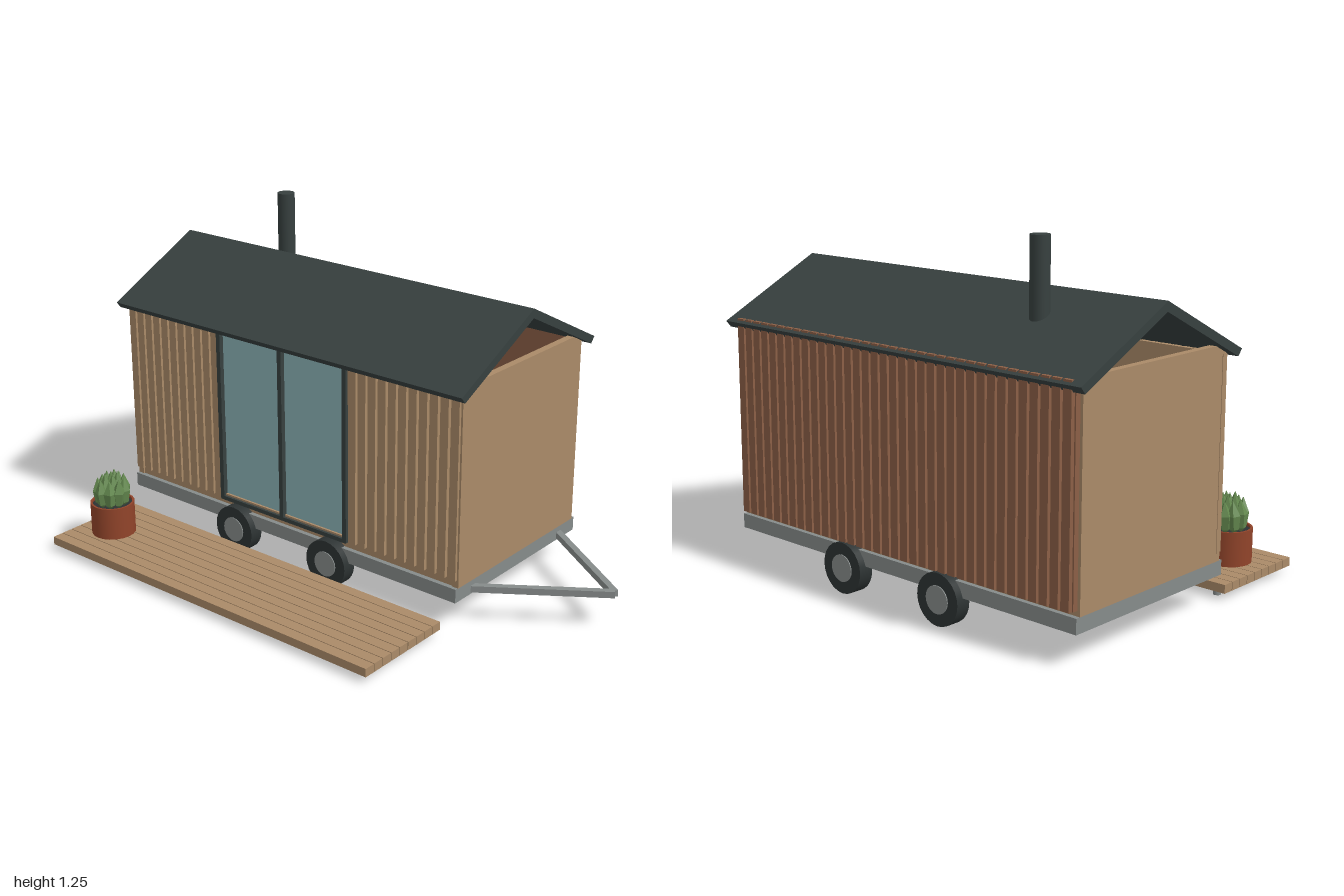
import * as THREE from 'three';

const material = (name, color, extra = {}) => {
  const m = new THREE.MeshStandardMaterial({ color, ...extra });
  m.name = name;
  return m;
};

export function createModel() {
  const model = new THREE.Group();
  model.name = 'tinyHouse';
  const timber = material('timber', 0xaa8a68);
  const darkTimber = material('dark timber', 0x8b5f46);
  const charcoal = material('charcoal metal', 0x37403f);
  const steel = material('steel', 0x868b8a);
  const glass = material('glass', 0x8cb3b7);
  const rubber = material('rubber', 0x2d3333);
  const clay = material('clay', 0x91442a);
  const leafGreen = material('leaf green', 0x64894f, { flatShading: true });

  const add = (name, geometry, mat, parent = model) => {
    const mesh = new THREE.Mesh(geometry, mat);
    mesh.name = name;
    parent.add(mesh);
    return mesh;
  };
  // Box given by its extents on each axis
  const box = (name, mat, x0, x1, y0, y1, z0, z1, parent) => {
    const g = new THREE.BoxGeometry(x1 - x0, y1 - y0, z1 - z0);
    g.translate((x0 + x1) / 2, (y0 + y1) / 2, (z0 + z1) / 2);
    return add(name, g, mat, parent);
  };
  const group = (name) => {
    const g = new THREE.Group();
    g.name = name;
    model.add(g);
    return g;
  };
  const midZ = -0.212;

  // Trailer: chassis, floor and A-frame hitch
  box('chassis', steel, -0.97, 0.59, 0.11, 0.162, -0.587, 0.163);
  box('floor', timber, -0.95, 0.58, 0.162, 0.19, -0.57, 0.145);
  for (const side of [1, -1]) {
    const dx = 0.405, dz = -side * 0.277;
    const bar = add('hitchBar', new THREE.BoxGeometry(Math.hypot(dx, dz), 0.024, 0.024), steel);
    bar.position.set(0.585 + dx / 2, 0.129, midZ + side * 0.277 + dz / 2);
    bar.rotation.y = -Math.atan2(dz, dx);
  }

  // Wheels: tyre with a flat hub on each outer face
  for (const x of [-0.418, 0.033]) {
    for (const side of [1, -1]) {
      const wheel = group('wheel');
      wheel.position.set(x, 0.091, midZ + side * 0.374);
      const tyre = add('tyre', new THREE.CylinderGeometry(0.09, 0.09, 0.055, 24), rubber, wheel);
      const hub = add('hub', new THREE.CylinderGeometry(0.048, 0.048, 0.062, 20), steel, wheel);
      tyre.rotation.x = hub.rotation.x = Math.PI / 2;
    }
  }

  // End walls, open gables above
  box('endWall', timber, 0.565, 0.592, 0.162, 0.888, -0.57, 0.15);
  box('endWall', timber, -0.97, -0.943, 0.162, 0.888, -0.57, 0.15);

  // Vertical cladding: backing board with spaced slats in front
  const cladding = (name, mat, x0, x1, y0, y1, zBack, zSlat, zFace, count) => {
    const g = group(name);
    box('backing', mat, x0, x1, y0, y1, Math.min(zBack, zSlat), Math.max(zBack, zSlat), g);
    const pitch = (x1 - x0) / count;
    for (let i = 0; i < count; i++) {
      const x = x0 + i * pitch;
      box('slat', mat, x + 0.005, x + pitch - 0.005, y0, y1,
        Math.min(zSlat, zFace), Math.max(zSlat, zFace), g);
    }
  };
  cladding('frontCladdingRight', timber, -0.972, -0.5, 0.19, 0.86, 0.13, 0.146, 0.16, 11);
  cladding('frontCladdingLeft', timber, 0.11, 0.59, 0.19, 0.86, 0.13, 0.146, 0.16, 11);
  cladding('rearCladding', darkTimber, -0.96, 0.572, 0.18, 0.884, -0.57, -0.59, -0.605, 36);

  // Sliding glass door
  const door = group('door');
  for (const x of [-0.493, -0.195, 0.103]) {
    box('doorPost', charcoal, x - 0.009, x + 0.009, 0.19, 0.858, 0.13, 0.168, door);
  }
  box('doorSill', charcoal, -0.5, 0.11, 0.187, 0.202, 0.13, 0.168, door);
  box('doorHead', charcoal, -0.5, 0.11, 0.846, 0.858, 0.13, 0.168, door);
  box('threshold', timber, -0.485, 0.095, 0.202, 0.209, 0.14, 0.158, door);
  box('glassPane', glass, -0.484, -0.204, 0.202, 0.85, 0.14, 0.15, door);
  box('glassPane', glass, -0.186, 0.094, 0.202, 0.85, 0.14, 0.15, door);

  // Pitched roof from one chevron profile
  const profile = new THREE.Shape([
    [-0.405, 0.871], [-0.386, 0.848], [0, 1.039], [0.386, 0.848], [0.405, 0.871], [0, 1.073],
  ].map(([z, y]) => new THREE.Vector2(z, y)));
  const roof = add('roof',
    new THREE.ExtrudeGeometry(profile, { depth: 1.616, bevelEnabled: false }), charcoal);
  roof.rotation.y = Math.PI / 2;
  roof.position.set(-1, 0, midZ);

  // Stove pipe
  const pipe = add('stovePipe', new THREE.CylinderGeometry(0.033, 0.033, 0.31, 20), charcoal);
  pipe.position.set(-0.615, 1.1, -0.354);

  // Deck: planks on short round feet
  const deck = group('deck');
  const pitch = 0.404 / 9;
  for (let i = 0; i < 9; i++) {
    const z = 0.215 + i * pitch;
    box('plank', timber, -0.952, 0.567, 0.024, 0.055, z + 0.0015, z + pitch - 0.0015, deck);
  }
  for (const x of [-0.896, 0.512]) {
    for (const z of [0.255, 0.565]) {
      const foot = add('deckFoot', new THREE.CylinderGeometry(0.014, 0.014, 0.026, 12), steel, deck);
      foot.position.set(x, 0.013, z);
    }
  }

  // Potted succulent: open pot, soil, two rings of pointed leaves
  const plant = group('pottedPlant');
  plant.position.set(-0.813, 0.055, 0.437);
  const point = ([r, y]) => new THREE.Vector2(r, y);
  add('pot', new THREE.LatheGeometry(
    [[0, 0.003], [0.083, 0.003], [0.083, 0.127], [0.075, 0.127], [0.075, 0.11]].map(point), 20),
  clay, plant).geometry = new THREE.LatheGeometry(
    [[0, 0.003], [0.083, 0.003], [0.083, 0.003], [0.083, 0.127], [0.083, 0.127],
      [0.075, 0.127], [0.075, 0.127], [0.075, 0.11]].map(point), 20);
  const soil = add('soil', new THREE.CylinderGeometry(0.076, 0.076, 0.01, 20), rubber, plant);
  soil.position.y = 0.112;
  const leaf = new THREE.LatheGeometry([[0, 0], [0.018, 0.02], [0.025, 0.075], [0, 0.135]].map(point), 5);
  const ring = (count, radius, scale, lean, turn) => {
    for (let i = 0; i < count; i++) {
      const a = (i / count) * Math.PI * 2 + turn;
      const m = add('leaf', leaf, leafGreen, plant);
      m.position.set(Math.cos(a) * radius, 0.112, Math.sin(a) * radius);
      m.rotation.set(Math.sin(a) * lean, a, -Math.cos(a) * lean);
      m.scale.set(1, scale, 1);
    }
  };
  ring(9, 0.046, 0.88, 0.06, 0.2);
  ring(5, 0.022, 1.02, 0.03, 0.5);
  ring(1, 0, 1.02, 0, 0);

  return model;
}
